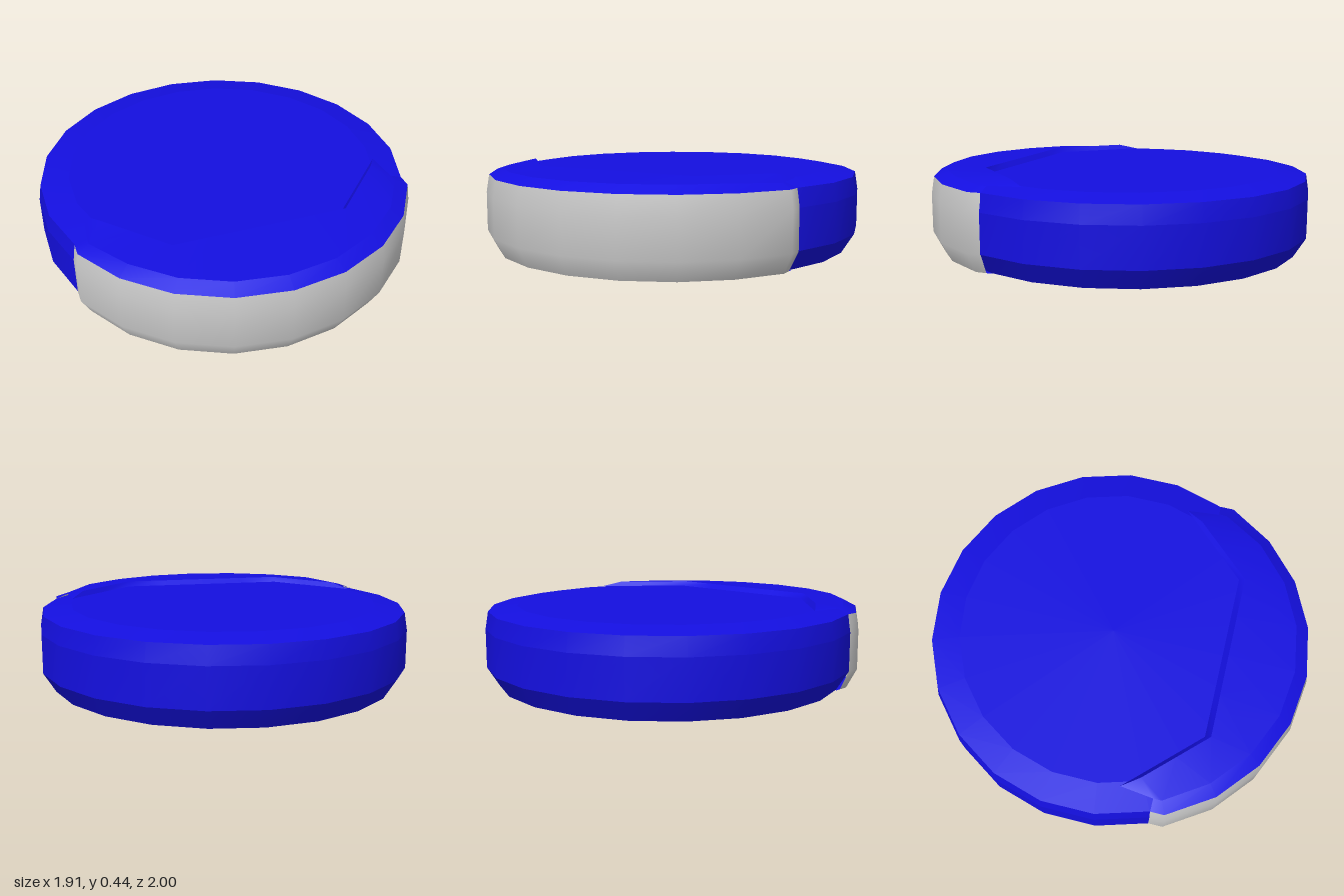
import * as THREE from 'three';
import { mergeGeometries } from 'three/addons/utils/BufferGeometryUtils.js';

const STEP = (Math.PI * 2) / 22;
const BLUE = 0x140fe0;

// Skin between rings of points; smooth along each ring
function skin(rings, closed) {
  const n = rings[0].length;
  const index = [];
  for (let i = 0; i < rings.length - 1; i++) {
    for (let j = 0; j < (closed ? n : n - 1); j++) {
      const k = (j + 1) % n;
      const a = i * n + j, b = i * n + k, c = a + n, d = b + n;
      index.push(a, c, b, b, c, d);
    }
  }
  const g = new THREE.BufferGeometry();
  g.setAttribute('position', new THREE.Float32BufferAttribute(rings.flat(2), 3));
  g.setIndex(index);
  g.computeVertexNormals();
  return g;
}

// Same skin with a sharp edge at every ring
function creasedSkin(rings, closed) {
  return mergeGeometries(rings.slice(1).map((r, i) => skin([rings[i], r], closed)));
}

function part(name, geometry, color) {
  const mesh = new THREE.Mesh(geometry, new THREE.MeshStandardMaterial({ color, side: THREE.DoubleSide }));
  mesh.name = name;
  return mesh;
}

// Full 22-sided ring of the body, set slightly back
const bodyRing = (r, y) => Array.from({ length: 22 }, (_, k) =>
  [r * Math.sin(k * STEP), y, -0.0375 - r * Math.cos(k * STEP)]);

// Front arc, set slightly forward, with short straight ends
const stations = Array.from({ length: 11 }, (_, i) => 5 - i);
const frontArc = (r, y, endY = y) => stations.map((k) => {
  const end = Math.abs(k) === 5;
  const a = (end ? Math.sign(k) * 4 : k) * STEP;
  return [r * Math.sin(a), Math.abs(k) >= 4 ? endY : y, end ? 0.36 : 0.0375 + r * Math.cos(a)];
});

// Mirrored row of points listed from the centre outwards
const mirrored = (half) => stations.map((k) => {
  const [x, y, z] = half[Math.abs(k)];
  return [Math.sign(k) * x, y, z];
});

export function createModel() {
  const model = new THREE.Group();
  model.name = 'roundPuck';

  // Body with chamfered bottom and softly bevelled top
  const profile = [[0, 0], [0.9, 0], [0.9625, 0.1], [0.9625, 0.3], [0.9475, 0.39], [0.8, 0.415], [0, 0.415]];
  model.add(part('body', creasedSkin(profile.map(([r, y]) => bodyRing(r, y)), true), BLUE));

  // Front bumper
  const bumper = [[0.91, 0], [0.9625, 0.1], [0.9625, 0.3], [0.9475, 0.39]];
  model.add(part('frontBumper', skin(bumper.map(([r, y]) => frontArc(r, y)), false), 0xcccccc));

  // Raised front lid, stepping down to the body top behind it
  const ridgeTop = mirrored([[0, 0.44, 0.57], [0.22, 0.44, 0.57], [0.44, 0.44, 0.57],
    [0.58, 0.44, 0.425], [0.72, 0.44, 0.28], [0.78, 0.415, 0.19]]);
  const ridgeFoot = mirrored([[0, 0.414, 0.54], [0.22, 0.414, 0.54], [0.44, 0.414, 0.54],
    [0.61, 0.414, 0.365], [0.76, 0.414, 0.21], [0.78, 0.414, 0.19]]);
  model.add(part('frontLid', creasedSkin(
    [frontArc(0.9475, 0.39), frontArc(0.88, 0.425, 0.413), ridgeTop, ridgeFoot], false), BLUE));

  // Underside behind the bumper
  const lowerRim = frontArc(0.91, 0);
  const inner = lowerRim.map(([x, y]) => [x, y, 0.33]);
  model.add(part('underside', skin([inner, lowerRim], false), BLUE));

  return model;
}
